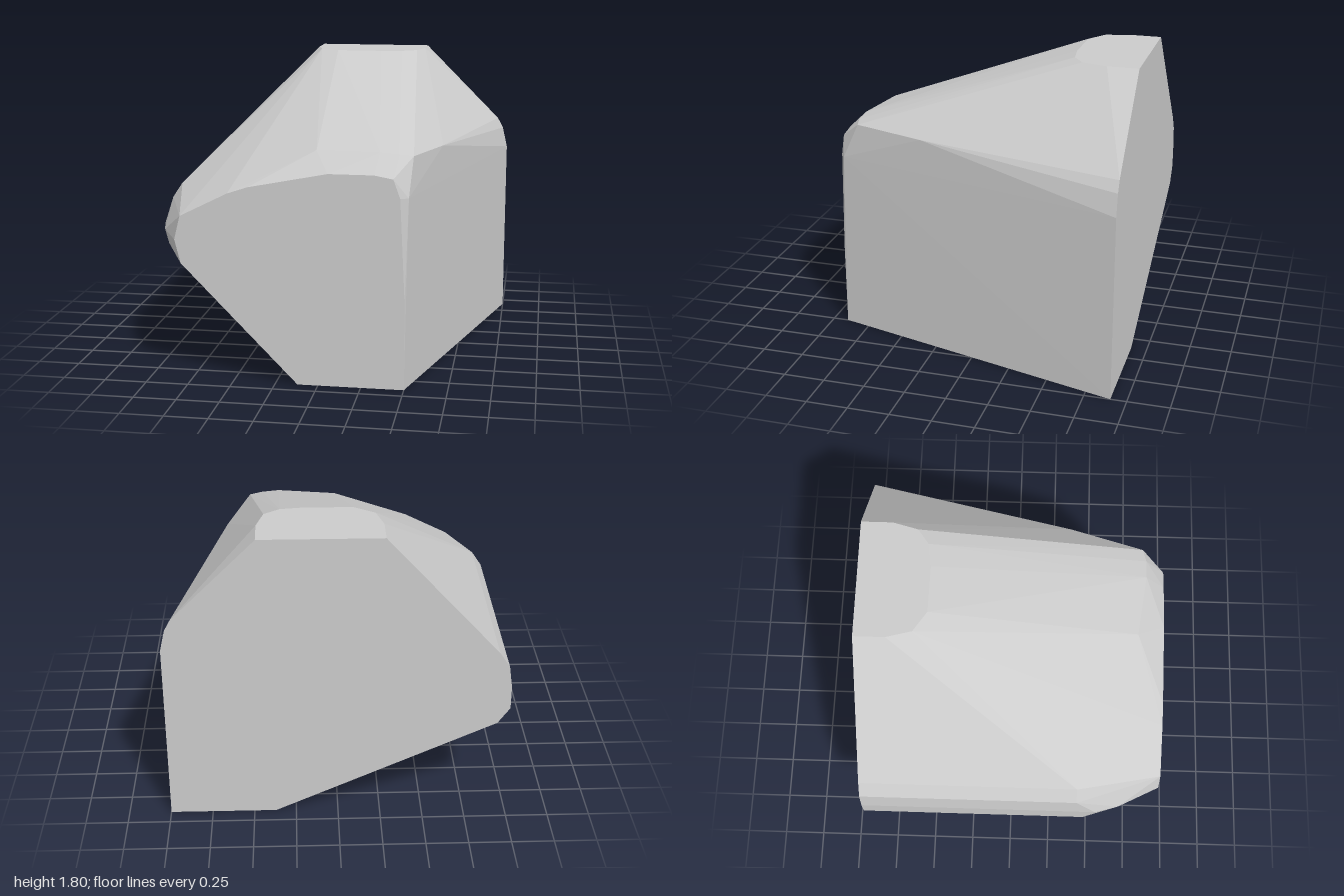
import * as THREE from 'three';
import { ConvexGeometry } from 'three/addons/geometries/ConvexGeometry.js';

const HALF_DEPTH = 0.905;

// Flat outlines, [x, y]
const frontOutline = [
  [-0.12, 0], [0.5, 0], [0.5, 0.52], [0.47, 1.12], [0.43, 1.23], [0.32, 1.25],
  [0.06, 1.25], [-0.4, 1.16], [-0.52, 1.12], [-0.8, 0.98], [-0.835, 0.84], [-0.8, 0.7],
];
const backOutline = [
  [0.37, 0], [1, 0], [1, 1.12], [0.97, 1.25], [0.935, 1.315], [0.45, 1.8],
  [-0.26, 1.8], [-0.92, 1.07], [-0.98, 0.98], [-1, 0.84], [-1, 0.7], [-0.93, 0.6],
];

// Flat top, [x, z]
const topOutline = [
  [-0.26, -0.72], [-0.22, -0.57], [-0.1, -0.49], [0.18, -0.485],
  [0.32, -0.505], [0.41, -0.57], [0.45, -0.72],
];

// Bevel corners where the slope and the sides meet the front, [x, y, z]
const bevelCorners = [
  [-0.03, 1.355, 0.74], [0.34, 1.36, 0.79], [0.45, 1.35, 0.79], [0.53, 1.34, 0.77],
  [0.515, 1.12, 0.875], [0.66, 1.33, 0.33],
  [-0.92, 1.07, 0.4], [-0.98, 0.98, 0.4], [-1, 0.84, 0.52], [-0.96, 0.84, 0.66],
  [-1, 0.7, 0.45], [-0.93, 0.6, 0.39],
];

export function createModel() {
  const points = [
    ...frontOutline.map(([x, y]) => new THREE.Vector3(x, y, HALF_DEPTH)),
    ...backOutline.map(([x, y]) => new THREE.Vector3(x, y, -HALF_DEPTH)),
    ...topOutline.map(([x, z]) => new THREE.Vector3(x, 1.8, z)),
    ...bevelCorners.map((p) => new THREE.Vector3(...p)),
  ];

  // One solid faceted block wrapped around the outlines
  const block = new THREE.Mesh(
    new ConvexGeometry(points),
    new THREE.MeshStandardMaterial({ color: 0xcccccc, flatShading: true }),
  );
  block.name = 'facetedBlock';

  const model = new THREE.Group();
  model.name = 'bevelledBlock';
  model.add(block);
  return model;
}
